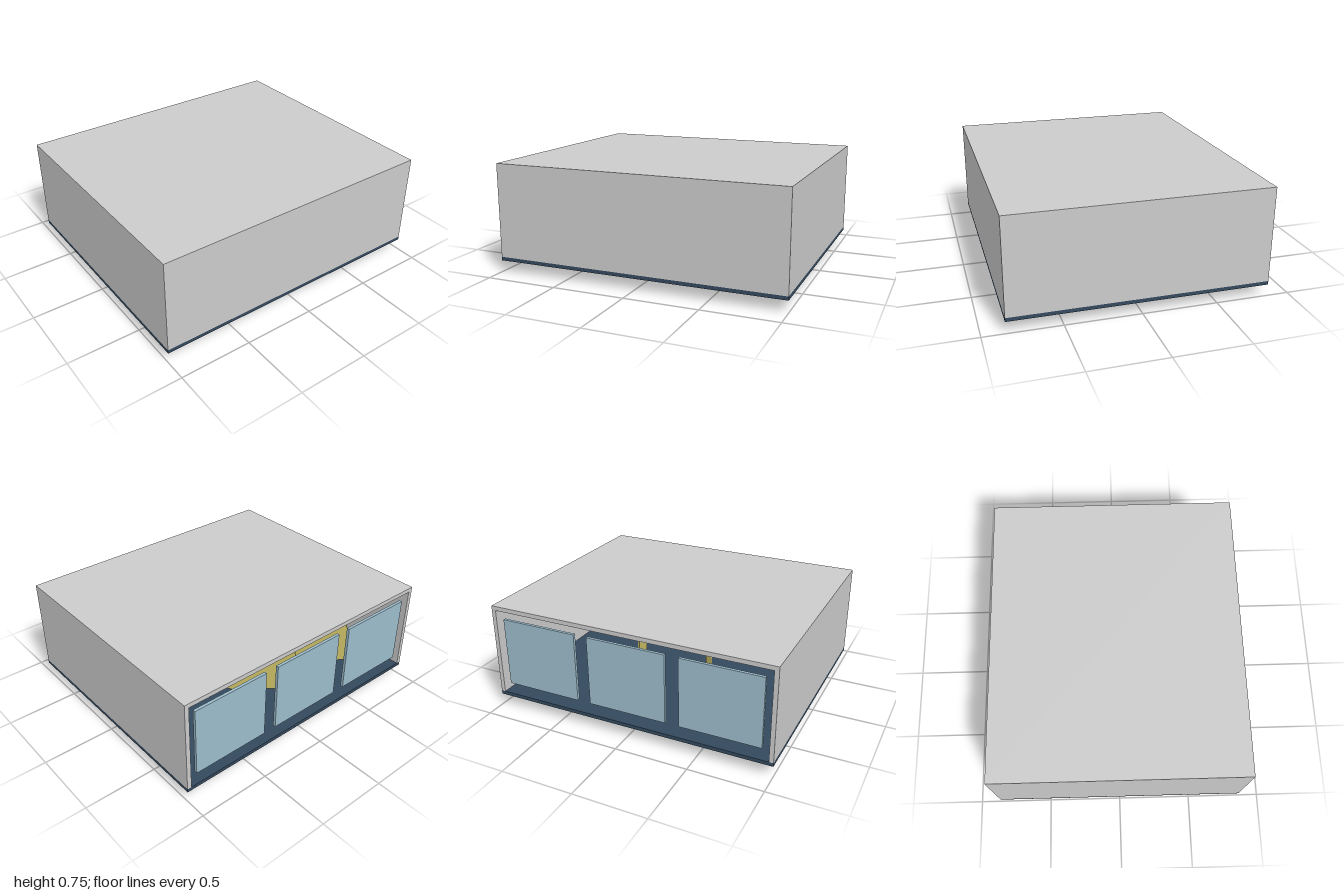
import * as THREE from 'three';

const W = 1.71, L = 2, TOP = 0.75, BASE = 0.08, FLOOR = 0.025, WALL = 0.03;

const paint = (color) => new THREE.MeshStandardMaterial({ color });
const wallMat = paint(0xcccccc);
const floorMat = paint(0x34495e);
const glassMat = paint(0x9cbccb);
const boardMat = paint(0xd8ca6c);

function box(name, material, size, position) {
  const mesh = new THREE.Mesh(new THREE.BoxGeometry(...size), material);
  mesh.name = name;
  mesh.position.set(...position);
  return mesh;
}

export function createModel() {
  const model = new THREE.Group();
  model.name = 'openSidedRoom';

  // Floor slab and roof
  model.add(box('floor', floorMat, [W, FLOOR, L], [0, BASE + FLOOR / 2, 0]));
  model.add(box('roof', wallMat, [W, WALL, L], [0, TOP - WALL / 2, 0]));

  // Three walls; the -x side stays open
  const wallBottom = BASE + FLOOR, wallTop = TOP - WALL;
  const wallH = wallTop - wallBottom, wallY = (wallTop + wallBottom) / 2;
  for (const side of [1, -1]) {
    model.add(box(side > 0 ? 'frontWall' : 'backWall', wallMat,
      [W, wallH, WALL], [0, wallY, side * (L - WALL) / 2]));
  }
  model.add(box('sideWall', wallMat,
    [WALL, wallH, L - 2 * WALL], [(W - WALL) / 2, wallY, 0]));

  // Three glass panels standing in the open side
  for (const i of [-1, 0, 1]) {
    model.add(box('windowPanel', glassMat,
      [0.02, 0.48, 0.55], [-W / 2 + 0.02, 0.42, i * 0.645]));
  }

  // Two thin tilted boards whose low corners pass through the floor
  for (const z of [0.36, -0.14]) {
    const board = box('tiltedBoard', boardMat, [0.85, 0.42, 0.01], [-0.36, 0.348, z]);
    board.rotation.set(0, 0.442, -0.364, 'YXZ');
    model.add(board);
  }

  return model;
}
